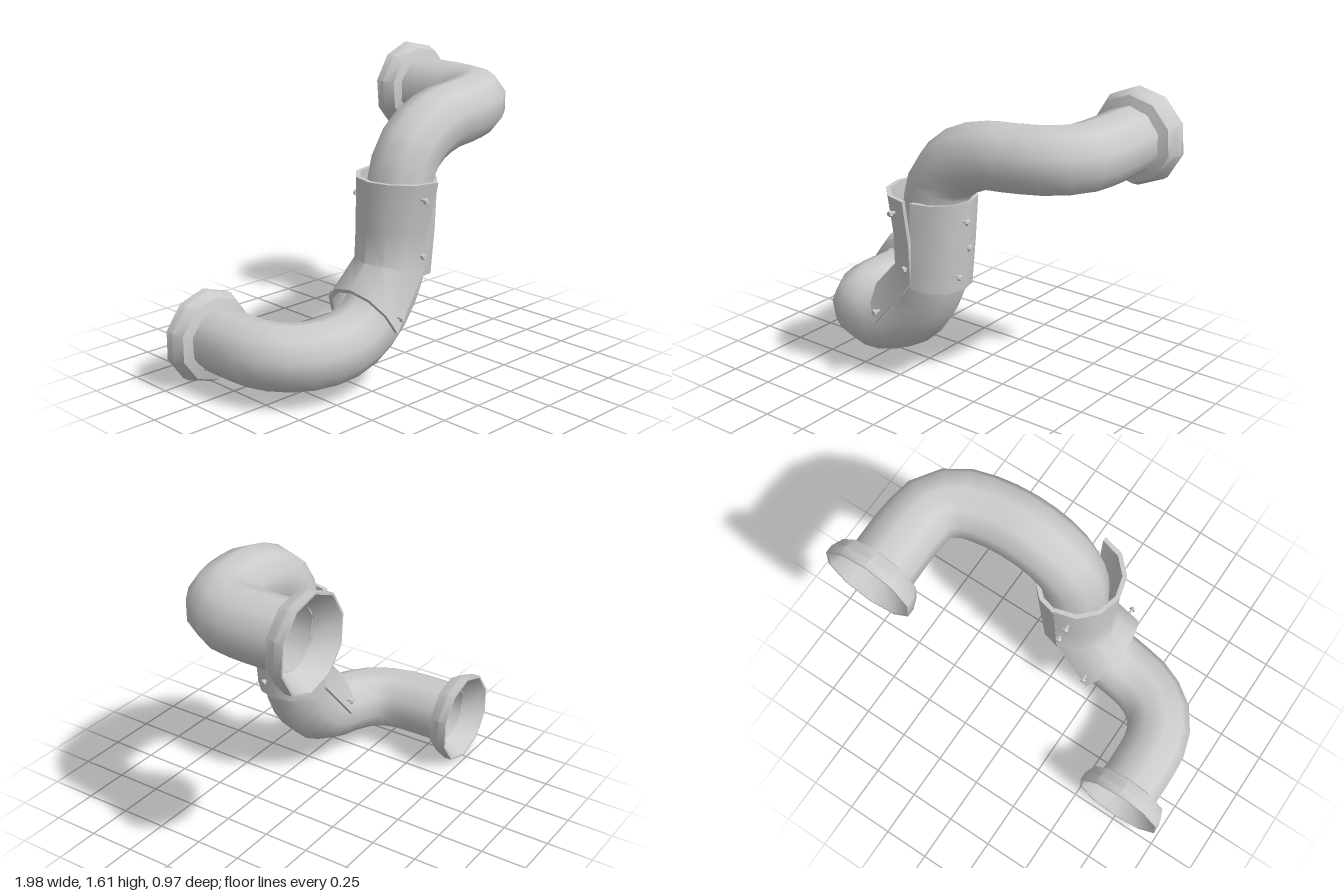
import * as THREE from 'three';
import { toCreasedNormals, mergeVertices } from 'three/addons/utils/BufferGeometryUtils.js';

const material = new THREE.MeshStandardMaterial({ color: 0xcccccc, side: THREE.DoubleSide });
const SIDES = 10;

function addMesh(parent, name, geometry) {
  const mesh = new THREE.Mesh(geometry, material);
  mesh.name = name;
  parent.add(mesh);
  return mesh;
}

// Flared pipe end opening towards -z, with a bowl-shaped inside
function flange(parent, name, x, y, z, startDeg) {
  const profile = [[0.172, 0], [0.225, 0.015], [0.25, 0.075], [0.25, 0.12], [0.238, 0.12], [0.17, 0.01]]
    .map(([r, h]) => new THREE.Vector2(r, h));
  const lathe = new THREE.LatheGeometry(profile, SIDES, THREE.MathUtils.degToRad(startDeg));
  lathe.rotateX(-Math.PI / 2);
  addMesh(parent, name, toCreasedNormals(lathe, 0.7)).position.set(x, y, z);
}

// Half-round clamp plate of some thickness, lofted through sections
// section: centre c, outward direction u (in the xy plane), half depth rx, half width rz
function clampHalf(parent, name, sections) {
  const arc = 6, thick = 0.024, positions = [], index = [];
  const ring = 2 * (arc + 1);
  for (const { c, u, rx, rz } of sections) {
    const len = Math.hypot(u[0], u[1]);
    for (let k = 0; k < ring; k++) {
      const outer = k <= arc;
      const t = Math.PI * (outer ? k : ring - 1 - k) / arc;
      const out = (rx - (outer ? 0 : thick)) * Math.sin(t) / len;
      const side = (rz - (outer ? 0 : thick)) * Math.cos(t);
      positions.push(c[0] + u[0] * out, c[1] + u[1] * out, c[2] + side);
    }
  }
  for (let s = 0; s < sections.length - 1; s++) {
    for (let k = 0; k < ring; k++) {
      const a = s * ring + k, b = s * ring + (k + 1) % ring;
      index.push(a, a + ring, b, b, a + ring, b + ring);
    }
  }
  // rims at both ends
  const last = (sections.length - 1) * ring;
  for (let k = 0; k < arc; k++) {
    const i = ring - 1 - k;
    index.push(k, k + 1, i, k + 1, i - 1, i);
    index.push(last + k, last + i, last + k + 1, last + k + 1, last + i, last + i - 1);
  }
  const geometry = new THREE.BufferGeometry();
  geometry.setAttribute('position', new THREE.Float32BufferAttribute(positions, 3));
  geometry.setIndex(index);
  addMesh(parent, name, toCreasedNormals(geometry, 0.8));
}

// Hexagonal bolt: thin shank with a wider head, pointing along dir
function bolt(parent, name, position, dir) {
  const group = new THREE.Group();
  group.name = name;
  const shank = new THREE.CylinderGeometry(0.008, 0.008, 0.04, 6).translate(0, -0.005, 0);
  const head = new THREE.CylinderGeometry(0.013, 0.018, 0.014, 6).translate(0, 0.019, 0);
  addMesh(group, 'boltShank', toCreasedNormals(shank, 0.5));
  addMesh(group, 'boltHead', toCreasedNormals(head, 0.5));
  group.position.set(...position);
  group.quaternion.setFromUnitVectors(new THREE.Vector3(0, 1, 0), new THREE.Vector3(...dir).normalize());
  parent.add(group);
}

export function createModel() {
  const model = new THREE.Group();
  model.name = 'bentPipe';

  // Pipe: upper end, bend sideways, drop, bend sideways, lower end
  const path = new THREE.CatmullRomCurve3([
    [0.745, 1.37, -0.36], [0.745, 1.37, -0.1], [0.72, 1.37, 0.04], [0.62, 1.365, 0.14],
    [0.45, 1.355, 0.19], [0.28, 1.34, 0.205], [0.13, 1.28, 0.21], [0.03, 1.18, 0.21],
    [-0.01, 1.05, 0.21], [-0.03, 0.8, 0.2], [-0.05, 0.62, 0.195], [-0.11, 0.48, 0.19],
    [-0.22, 0.36, 0.19], [-0.36, 0.29, 0.19], [-0.52, 0.265, 0.165], [-0.66, 0.26, 0.08],
    [-0.73, 0.257, -0.05], [-0.745, 0.257, -0.2], [-0.745, 0.257, -0.37],
  ].map((p) => new THREE.Vector3(...p)));
  addMesh(model, 'pipe', new THREE.TubeGeometry(path, 32, 0.174, SIDES, false));

  flange(model, 'upperFlange', 0.747, 1.37, -0.35, -5);
  flange(model, 'lowerFlange', -0.752, 0.256, -0.36, 0);

  // Clamp plates around the drop
  clampHalf(model, 'rightClamp', [
    { c: [-0.02, 1.11, 0.235], u: [-1, 0], rx: 0.24, rz: 0.245 },
    { c: [-0.03, 0.86, 0.21], u: [-1, 0], rx: 0.22, rz: 0.215 },
    { c: [-0.04, 0.64, 0.2], u: [-0.98, 0.2], rx: 0.22, rz: 0.205 },
    { c: [-0.26, 0.375, 0.2], u: [-0.45, 0.89], rx: 0.215, rz: 0.24 },
  ]);
  clampHalf(model, 'leftClamp', [
    { c: [-0.03, 1.08, 0.2], u: [1, 0], rx: 0.215, rz: 0.21 },
    { c: [-0.035, 0.84, 0.2], u: [1, -0.04], rx: 0.205, rz: 0.205 },
    { c: [-0.045, 0.61, 0.195], u: [1, -0.1], rx: 0.192, rz: 0.2 },
  ]);

  // Bolts on the outer side, then on the front and back edges
  [[0.178, 0.98, 0.23], [0.165, 0.83, 0.195], [0.145, 0.68, 0.25]]
    .forEach((p) => bolt(model, 'sideBolt', p, [1, -0.1, 0]));
  [[-0.1, 1.03, 0.458], [-0.06, 0.725, 0.41], [-0.24, 0.45, 0.438]]
    .forEach((p) => bolt(model, 'frontBolt', p, [-0.1, 0, 1]));
  [[-0.1, 0.98, 0.0], [-0.06, 0.78, -0.002], [-0.24, 0.47, -0.03]]
    .forEach((p) => bolt(model, 'backBolt', p, [-0.1, 0, -1]));

  return model;
}
